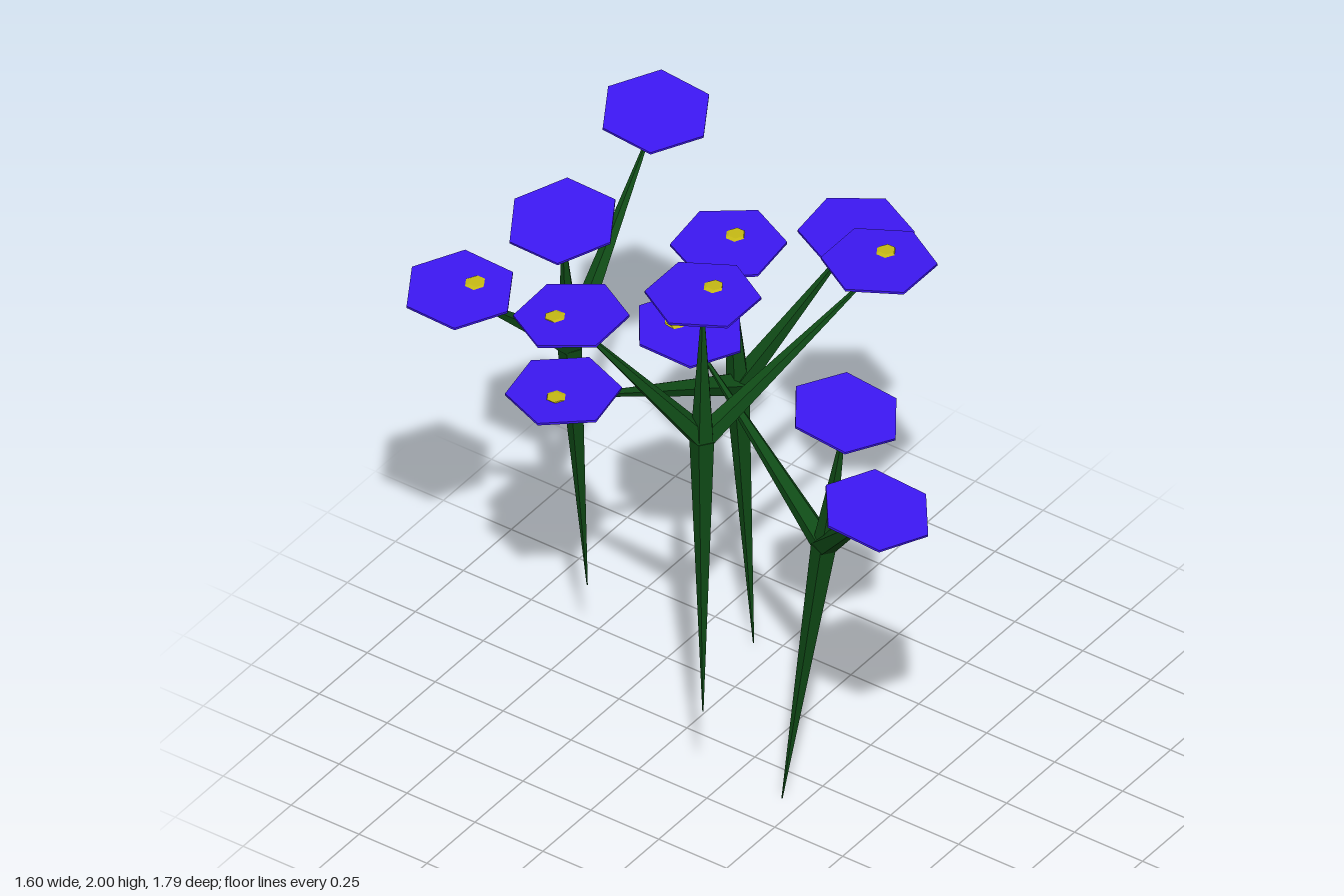
import * as THREE from 'three';

const green = new THREE.MeshStandardMaterial({ color: 0x0f4a16, flatShading: true });
const blue = new THREE.MeshStandardMaterial({ color: 0x3c17f0 });
const yellow = new THREE.MeshStandardMaterial({ color: 0xc4b814, flatShading: true });
const UP = new THREE.Vector3(0, 1, 0);

// Each plant: root, fork, then three blossoms.
// Blossom: at = centre, tilt = rise along x and z, turn = corner angle in degrees,
// spot = x, z of the small yellow tip showing on top (if any)
const plants = [
  {
    root: [-0.355, 0.42, 0.06], fork: [-0.355, 1.45, 0.06],
    blossoms: [
      { at: [-0.355, 1.99, 0.06], tilt: [0, 0], turn: 0, spot: [0.055, 0.005] },
      { at: [-0.63, 1.955, -0.23], tilt: [0.04, 0.06], turn: 0, spot: [-0.035, -0.043] },
      { at: [0.265, 1.825, 0.27], tilt: [0, 0], turn: 0, spot: [0.055, -0.01] },
    ],
  },
  {
    root: [0.075, 0.31, -0.67], fork: [-0.075, 1.33, -0.625],
    blossoms: [
      { at: [-0.16, 1.86, -0.595], tilt: [0.19, -0.03], turn: 30 },
      { at: [-0.525, 1.775, -0.715], tilt: [0.08, -0.04], turn: 30, spot: [0.055, 0.025] },
      { at: [0.51, 1.8, -0.725], tilt: [0.11, -0.1], turn: 30, hanging: true },
    ],
  },
  {
    root: [-0.12, 0, 0.185], fork: [-0.125, 1.03, 0.345],
    blossoms: [
      { at: [-0.135, 1.57, 0.43], tilt: [0, -0.19], turn: 25 },
      { at: [-0.383, 1.483, 0.72], tilt: [0, -0.2], turn: 22 },
      { at: [0, 1.51, -0.24], tilt: [0, -0.12], turn: 24, spot: [-0.01, -0.057] },
    ],
  },
  {
    root: [0.46, 0, -0.33], fork: [0.37, 1.04, -0.322],
    blossoms: [
      { at: [0.33, 1.587, -0.33], tilt: [0.05, 0], turn: -5, spot: [0.048, -0.005] },
      { at: [0.622, 1.567, -0.067], tilt: [0.03, -0.04], turn: -5 },
      { at: [-0.31, 1.36, -0.485], tilt: [0.03, 0], turn: -9, spot: [-0.045, 0] },
    ],
  },
];

// Tapered five-sided shoot between two points
function shoot(name, a, b, ra, rb) {
  const dir = b.clone().sub(a);
  const mesh = new THREE.Mesh(new THREE.CylinderGeometry(rb, ra, dir.length(), 5), green);
  mesh.name = name;
  mesh.position.copy(a).add(b).multiplyScalar(0.5);
  mesh.quaternion.setFromUnitVectors(UP, dir.normalize());
  return mesh;
}

// Six-sided petal disc with a yellow centre cone below it
function blossom({ at, tilt, turn, spot, hanging }) {
  const group = new THREE.Group();
  group.name = 'blossom';
  group.position.set(...at);
  group.quaternion.setFromUnitVectors(UP, new THREE.Vector3(-tilt[0], 1, -tilt[1]).normalize());

  const petals = new THREE.Mesh(new THREE.CylinderGeometry(0.176, 0.176, 0.008, 6), blue);
  petals.name = 'petals';
  petals.rotation.y = THREE.MathUtils.degToRad(30 - turn);
  group.add(petals);

  const bottom = hanging ? -0.09 : -0.014;
  const top = spot ? 0.007 : 0;
  const geo = new THREE.CylinderGeometry(hanging ? 0.075 : 0.026, hanging ? 0.025 : 0.065, top - bottom, 6);
  geo.translate(0, (top + bottom) / 2, 0);
  if (spot) {
    // Lean the cone so its tip comes through off-centre
    const p = geo.attributes.position;
    for (let i = 0; i < p.count; i++) {
      if (p.getY(i) > 0) p.setXYZ(i, p.getX(i) + spot[0], p.getY(i), p.getZ(i) + spot[1]);
    }
    geo.computeVertexNormals();
  }
  const centre = new THREE.Mesh(geo, yellow);
  centre.name = 'flowerCentre';
  group.add(centre);
  return group;
}

export function createModel() {
  const model = new THREE.Group();
  model.name = 'flowers';
  for (const { root, fork, blossoms } of plants) {
    const plant = new THREE.Group();
    plant.name = 'plant';
    const f = new THREE.Vector3(...fork);
    plant.add(shoot('stem', new THREE.Vector3(...root), f, 0.002, 0.041));
    for (const b of blossoms) {
      const tip = new THREE.Vector3(...b.at);
      tip.y -= 0.02;
      plant.add(shoot('branch', f, tip, 0.038, 0.002), blossom(b));
    }
    model.add(plant);
  }
  return model;
}
